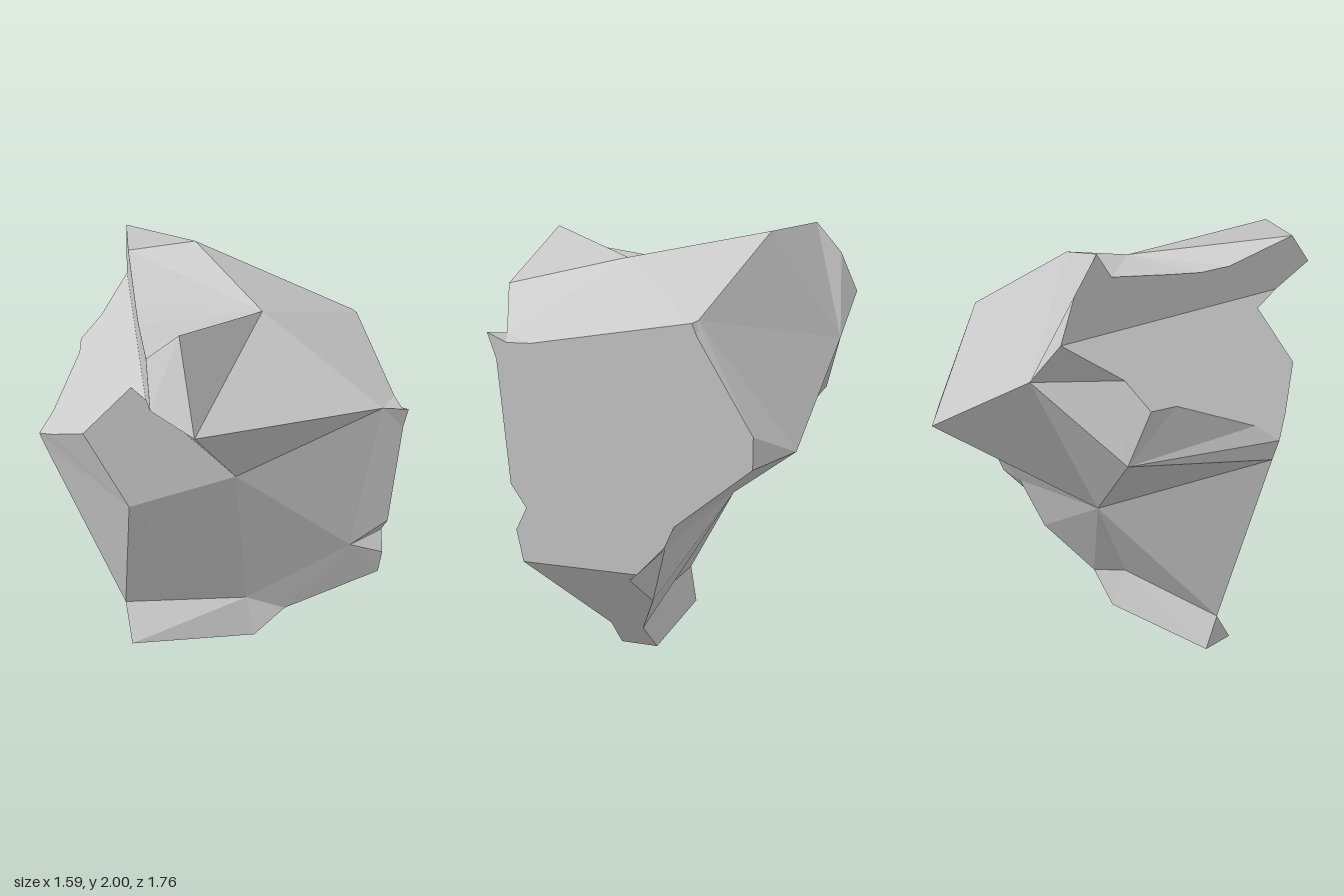
import * as THREE from 'three';

const material = new THREE.MeshStandardMaterial({ color: 0xcccccc, flatShading: true });

// Named corners of the boulder
const V = {
  B: [-0.19, 1.99, 0.6], C: [-0.165, 1.7, 0.88], D: [0.07, 1.2, 0.39], E: [0.69, 1.53, 0.44],
  F: [0.225, 1.84, 0.07], G: [0, 1.955, -0.535], H: [0.77, 1.61, -0.43], J: [0.67, 1.1, -0.805],
  K: [-0.09, 1.48, -0.845], M: [-0.405, 1.05, 0.35], N: [0.01, 0.735, -0.38], P: [-0.51, 1.19, -0.72],
  T: [-0.775, 1.11, -0.11], U: [-0.44, 0.18, -0.03], n: [0.63, 0.75, 0.36], v: [0.19, 0.22, 0.06],
  h: [0.17, 0.21, -0.03], b: [0.7, 0.65, -0.27], p0: [-0.42, 0, 0.1], p1: [-0.41, 0, -0.07],
};

// Outlines of the planar cuts: each pair is placed on its plane
function outline(prefix, pairs, place) {
  pairs.forEach((p, i) => { V[prefix + i] = place(p[0], p[1]); });
}
// flat side, x = 0.79 (z, y)
outline('r', [[0.48, 1.54], [0.44, 1.43], [0.39, 0.9], [0.32, 0.8], [0.37, 0.7], [0.34, 0.56],
  [-0.18, 0.56], [-0.3, 0.69], [-0.34, 0.78], [-0.66, 1.04], [-0.66, 1.17], [-0.43, 1.55],
  [-0.41, 1.6], [0.28, 1.5], [0.39, 1.5]], (z, y) => [0.79, y, z]);
// sloping underside at 45 degrees (x, z)
outline('q', [[0.39, 0.1], [0.23, 0.11], [0.23, -0.07], [0.38, -0.055], [0.615, -0.187],
  [0.745, -0.13]], (x, z) => [x, x - 0.23, z]);
// sloping shoulder at 45 degrees (x, z)
outline('s', [[-0.32, 0.52], [-0.37, 0.31], [-0.585, 0.3], [-0.73, 0.04], [-0.8, -0.1],
  [-0.73, -0.18], [-0.59, -0.52], [-0.58, -0.66], [-0.47, -0.69], [-0.32, -0.88]],
(x, z) => [x, x + 2, z]);
// upright wall above the shoulder, x = -0.32 (z, y)
outline('w', [[0.79, 1.78], [0.64, 1.92], [0.15, 1.84], [-0.05, 1.84], [-0.25, 1.86], [-0.6, 1.9],
  [-0.68, 2], [-0.8, 1.86]], (z, y) => [-0.32, y, z]);

function makeMesh(name, triangles) {
  const geometry = new THREE.BufferGeometry();
  const positions = triangles.flatMap((t) => t.flatMap((id) => V[id]));
  geometry.setAttribute('position', new THREE.Float32BufferAttribute(positions, 3));
  geometry.computeVertexNormals();
  const mesh = new THREE.Mesh(geometry, material);
  mesh.name = name;
  return mesh;
}

// Faceted skin: every word list is a fan around its first corner
function skin(name, fans) {
  const triangles = [];
  for (const fan of fans) {
    const ids = fan.split(' ');
    for (let i = 1; i < ids.length - 1; i++) triangles.push([ids[0], ids[i], ids[i + 1]]);
  }
  return makeMesh(name, triangles);
}

// Planar cut: triangulated in 2D across the two given axes, turned to face outwards
function cut(name, loop, [a, b], outward) {
  const ids = loop.split(' ');
  const flat = ids.map((id) => new THREE.Vector2(V[id][a], V[id][b]));
  const out = new THREE.Vector3(...outward);
  const triangles = THREE.ShapeUtils.triangulateShape(flat, []).map((t) => {
    const names = t.map((i) => ids[i]);
    const [p, q, r] = names.map((id) => new THREE.Vector3(...V[id]));
    const normal = q.sub(p).cross(r.sub(p));
    return normal.dot(out) < 0 ? names.reverse() : names;
  });
  return makeMesh(name, triangles);
}

export function createModel() {
  const boulder = new THREE.Group();
  boulder.name = 'boulder';
  boulder.add(
    // front facets, overhang and notch
    skin('frontFacets', [
      'C D E', 's1 D C', 's1 M D', 's2 M s1', 'C s0 s1', 'C w0 s0', 'M s2 s3 s4 T', 'T U M',
      'M U v D', 'D v n', 'E D n r2 r1 r0', 'n r3 r2', 'n r4 r3', 'n v q0 r5 r4',
      'v U p0 q1 q0', 'U p1 p0',
    ]),
    // crown around its middle corner
    skin('topFacets', [
      'F r13 r12 H G w5 w4 w3 w2 w1 B C E r13', 'E r0 r14 r13', 'B w1 w0 C', 'G w6 w5',
    ]),
    // back facets, tapering to the foot
    skin('backFacets', [
      'G H K', 'H J K', 'H r12 r11 r10 J', 'J r10 r9', 'N J r9 r8 b', 'b r8 r7', 'b r7 r6 q5',
      'b q5 q4', 'N b q4 q3 h', 'N h U', 'h q3 q2 p1 U', 'N U T', 'N T P', 'P T s4 s5 s6 s7',
      'J N K', 'K N P s8', 'P s7 s8', 'K s8 s9 w7 w6 G',
    ]),
    // planar cuts
    cut('flatSide', 'r0 r1 r2 r3 r4 r5 r6 r7 r8 r9 r10 r11 r12 r13 r14', [2, 1], [1, 0, 0]),
    cut('slopingUnderside', 'r5 q0 q1 q2 q3 q4 q5 r6', [2, 1], [1, -1, 0]),
    cut('slopingShoulder', 's9 s8 s7 s6 s5 s4 s3 s2 s1 s0', [0, 2], [-1, 1, 0]),
    cut('shoulderWall', 's9 s0 w0 w1 w2 w3 w4 w5 w6 w7', [2, 1], [-1, 0, 0]),
    cut('foot', 'q1 p0 p1 q2', [0, 2], [0, -1, 0]),
  );
  return boulder;
}
